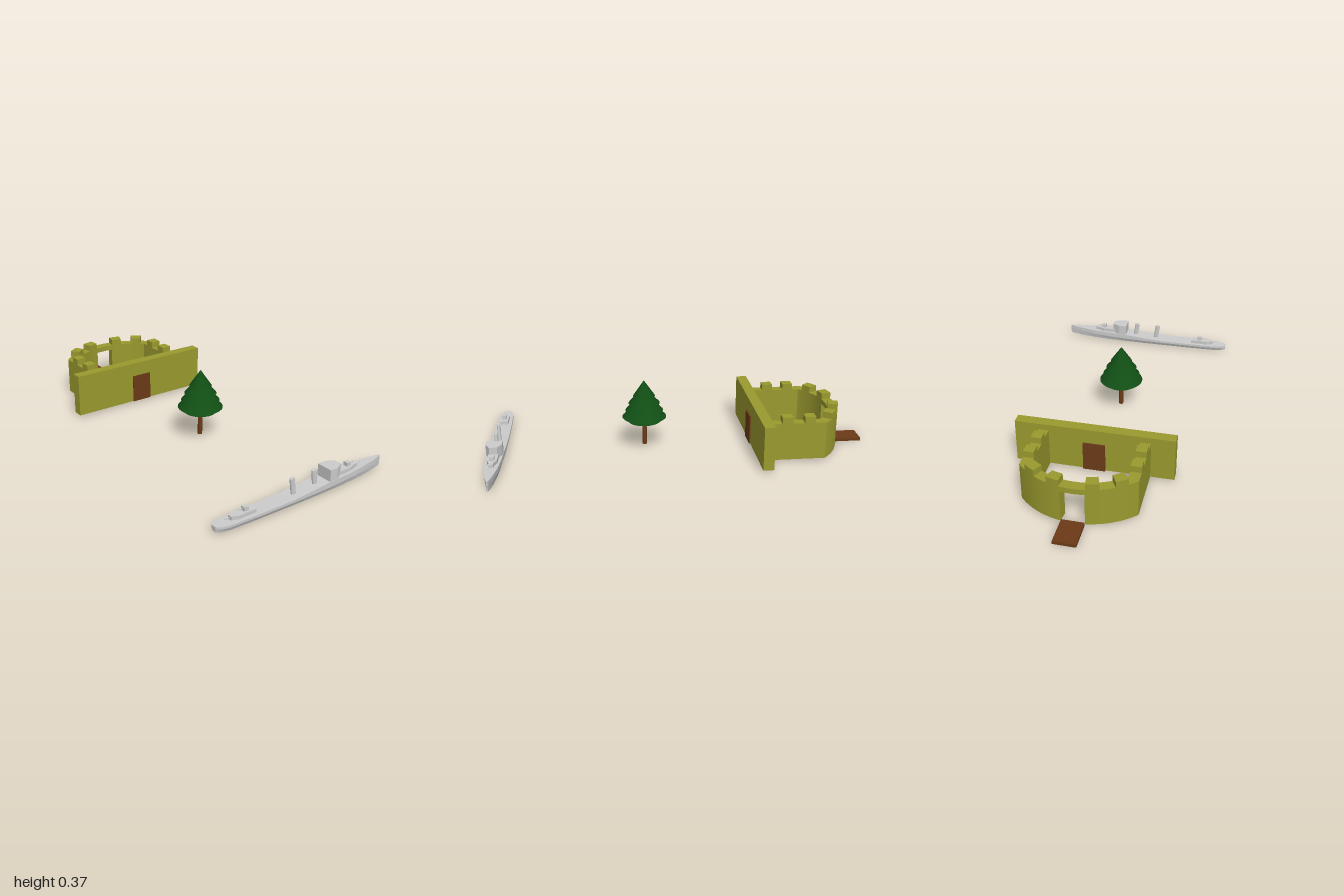
import * as THREE from 'three';

const mat = (color) => new THREE.MeshStandardMaterial({ color });
const olive = mat(0x99992f), brown = mat(0x6b3a17), green = mat(0x114d14), grey = mat(0xcccccc);
const rad = THREE.MathUtils.degToRad;

function add(parent, name, geometry, material, x = 0, y = 0, z = 0) {
  const mesh = new THREE.Mesh(geometry, material);
  mesh.name = name;
  mesh.position.set(x, y, z);
  parent.add(mesh);
  return mesh;
}

// Box given by its limits on each axis
function block(parent, name, material, [x0, x1], [y0, y1], [z0, z1]) {
  return add(parent, name, new THREE.BoxGeometry(x1 - x0, y1 - y0, z1 - z0), material,
    (x0 + x1) / 2, (y0 + y1) / 2, (z0 + z1) / 2);
}

// Upright prism over a plan whose second coordinate points to the back (-z)
function prism(parent, name, material, shape, y0, y1) {
  const geometry = new THREE.ExtrudeGeometry(shape, { depth: y1 - y0, bevelEnabled: false, curveSegments: 10 });
  geometry.rotateX(-Math.PI / 2);
  return add(parent, name, geometry, material, 0, y0, 0);
}

const plan = (points) => new THREE.Shape(points.map(([x, b]) => new THREE.Vector2(x, b)));

// Piece of the curved rampart between two angles, measured from straight back
function sector(from, to) {
  const a = Math.PI / 2 - rad(from), b = Math.PI / 2 - rad(to);
  const shape = new THREE.Shape();
  shape.absarc(0, 0.468, 0.389, a, b, a > b);
  shape.absarc(0, 0.468, 0.336, b, a, b > a);
  shape.closePath();
  return shape;
}

function createFort() {
  const fort = new THREE.Group();
  fort.name = 'fort';
  const base = 0.012, top = 0.21, merlonTop = 0.243;
  block(fort, 'frontWall', olive, [-0.403, 0.403], [base, 0.241], [-0.443, -0.387]);
  block(fort, 'frontDoor', brown, [-0.056, 0.056], [base, 0.165], [-0.453, -0.38]);
  block(fort, 'drawbridge', brown, [-0.056, 0.056], [0.002, 0.018], [-1, -0.85]);
  prism(fort, 'gateLintel', olive, sector(-8.6, 8.6), 0.182, top);

  for (const s of [-1, 1]) {
    const side = plan([[s * 0.23, 0.44], [s * 0.283, 0.44], [s * 0.283, 0.735], [s * 0.23, 0.714]]);
    prism(fort, 'sideWall', olive, side, base, top);
    prism(fort, 'curvedWall', olive, sector(s * 8.6, s * 46.7), base, top);
    // Merlons on the straight and curved runs
    for (const z of [-0.533, -0.649]) {
      block(fort, 'merlon', olive, [s * 0.2565 - 0.0265, s * 0.2565 + 0.0265], [top, merlonTop], [z - 0.028, z + 0.028]);
    }
    for (const a of [9.3, 29.5]) prism(fort, 'merlon', olive, sector(s * a, s * (a + 9.4)), top, merlonTop);
  }
  return fort;
}

function createTree() {
  const tree = new THREE.Group();
  tree.name = 'tree';
  tree.position.z = 0.18;
  add(tree, 'trunk', new THREE.CylinderGeometry(0.012, 0.012, 0.15, 20), brown, 0, 0.09, 0);
  // Tiers: base height, base radius, top height, top radius
  const tiers = [
    [0.148, 0.086, 0.185, 0.06],
    [0.172, 0.117, 0.215, 0.065],
    [0.208, 0.1, 0.255, 0.055],
    [0.248, 0.083, 0.295, 0.04],
    [0.288, 0.058, 0.373, 0],
  ];
  for (const [y0, r0, y1, r1] of tiers) {
    add(tree, 'foliageTier', new THREE.CylinderGeometry(r1, r0, y1 - y0, 32), green, 0, (y0 + y1) / 2, 0);
  }
  return tree;
}

// Hull lofted through stations: x, deck height, chine height, keel height, half beam
function hullGeometry() {
  const stations = [
    [-0.505, 0.038, 0.027, 0.013, 0.014],
    [-0.485, 0.038, 0.027, 0.011, 0.028],
    [-0.44, 0.038, 0.027, 0.01, 0.038],
    [-0.28, 0.039, 0.027, 0.01, 0.043],
    [-0.1, 0.041, 0.028, 0.01, 0.045],
    [0.03, 0.05, 0.029, 0.01, 0.045],
    [0.13, 0.058, 0.031, 0.01, 0.044],
    [0.24, 0.06, 0.034, 0.01, 0.04],
    [0.34, 0.062, 0.037, 0.011, 0.033],
    [0.43, 0.065, 0.042, 0.012, 0.02],
    [0.48, 0.067, 0.045, 0.014, 0.01],
    [0.503, 0.068, 0.047, 0.016, 0.003],
  ];
  const n = 6, positions = [], index = [];
  for (const [x, deck, chine, keel, w] of stations) {
    positions.push(x, deck, w, x, deck, -w, x, chine, -w, x, keel, -0.8 * w, x, keel, 0.8 * w, x, chine, w);
  }
  for (let i = 0; i < stations.length - 1; i++) {
    for (let j = 0; j < n; j++) {
      const a = i * n + j, b = i * n + (j + 1) % n;
      index.push(a, a + n, b, b, a + n, b + n);
    }
  }
  const last = (stations.length - 1) * n;
  for (let j = 1; j < n - 1; j++) index.push(0, j, j + 1, last, last + j + 1, last + j);
  const geometry = new THREE.BufferGeometry();
  geometry.setAttribute('position', new THREE.Float32BufferAttribute(positions, 3));
  geometry.setIndex(index);
  const flat = geometry.toNonIndexed();
  flat.computeVertexNormals();
  return flat;
}

// Small gun: turret with a barrel pointing along dir
function gun(parent, x, y, height, reach, dir) {
  block(parent, 'gunTurret', grey, [x - 0.012, x + 0.012], [y, y + height], [-0.012, 0.012]);
  const barrel = add(parent, 'gunBarrel', new THREE.CylinderGeometry(0.002, 0.002, reach, 8), grey,
    x + dir * reach / 2, y + height * 0.65, 0);
  barrel.rotation.z = Math.PI / 2;
}

function createShip() {
  const ship = new THREE.Group();
  ship.name = 'ship';
  ship.position.z = 0.955;
  add(ship, 'hull', hullGeometry(), grey);

  // Deckhouses and bridge
  prism(ship, 'aftDeckhouse', grey,
    plan([[-0.42, -0.008], [-0.39, -0.022], [-0.29, -0.022], [-0.29, 0.022], [-0.39, 0.022], [-0.42, 0.008]]), 0.036, 0.057);
  prism(ship, 'bridge', grey,
    plan([[0.13, -0.041], [0.175, -0.041], [0.215, -0.02], [0.215, 0.02], [0.175, 0.041], [0.13, 0.041]]), 0.05, 0.117);
  prism(ship, 'forwardDeckhouse', grey,
    plan([[0.19, -0.025], [0.28, -0.025], [0.318, -0.012], [0.318, 0.012], [0.28, 0.025], [0.19, 0.025]]), 0.055, 0.08);

  // Funnels raked towards the stern
  for (const x of [-0.064, 0.068]) {
    const geometry = new THREE.CylinderGeometry(0.0135, 0.0135, 0.085, 16);
    geometry.scale(1, 1, 0.7);
    add(ship, 'funnel', geometry, grey, x, 0.082, 0).rotation.z = 0.15;
  }

  gun(ship, -0.338, 0.056, 0.021, 0.042, -1);
  gun(ship, -0.408, 0.036, 0.02, 0.042, -1);
  gun(ship, 0.28, 0.079, 0.02, 0.04, 1);
  gun(ship, 0.325, 0.06, 0.02, 0.042, 1);
  return ship;
}

export function createModel() {
  const model = new THREE.Group();
  model.name = 'coastalScene';
  model.add(createFort(), createTree(), createShip());
  return model;
}
